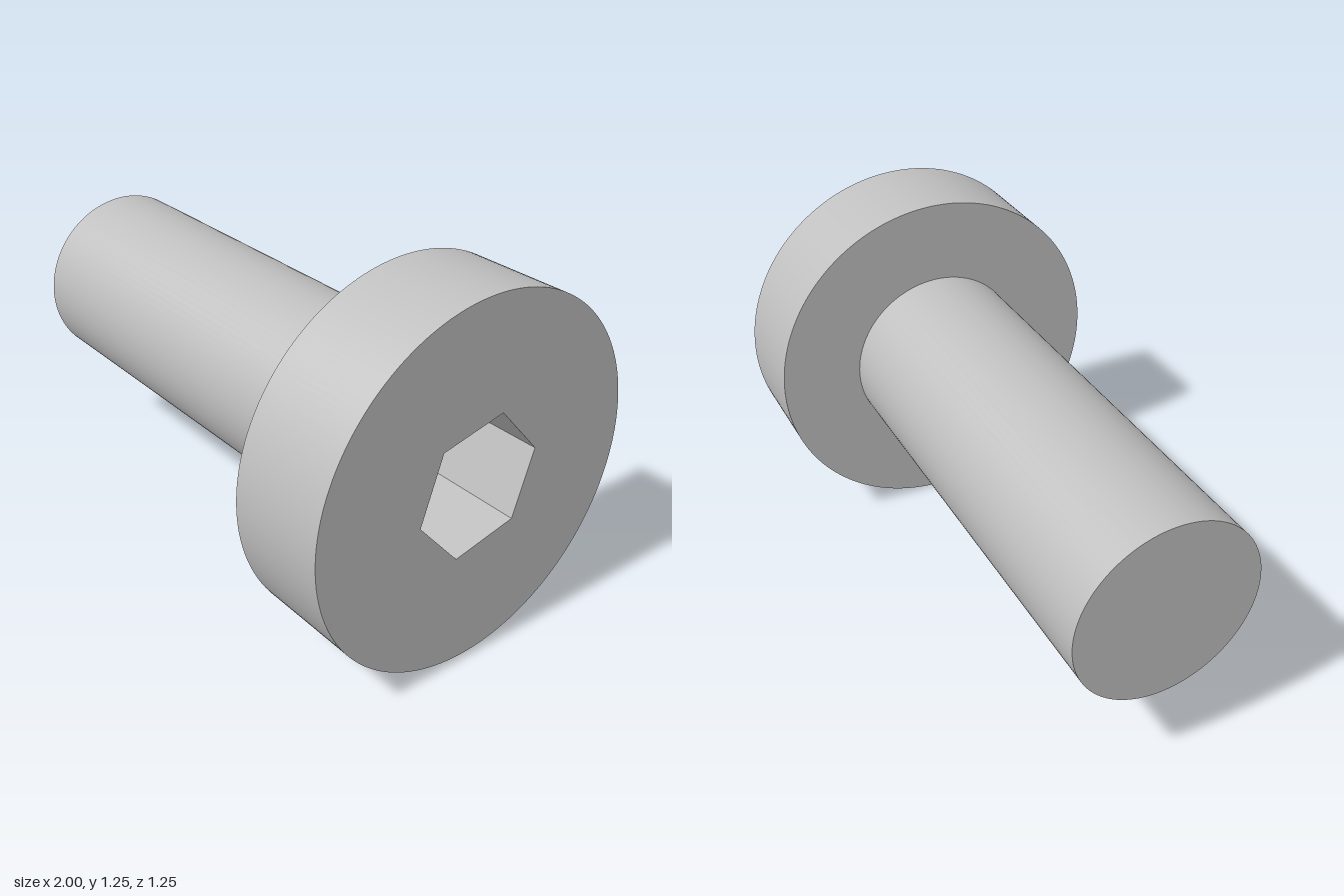
import * as THREE from 'three';
import { toCreasedNormals } from 'three/addons/utils/BufferGeometryUtils.js';

const HEAD_R = 0.623, HEAD_BACK = 0.64, HEAD_LENGTH = 0.36;
const SHANK_R = 0.327, SHANK_LENGTH = 1.64;
const SOCKET_R = 0.239, SOCKET_TURN = THREE.MathUtils.degToRad(12);

export function createModel() {
  const steel = new THREE.MeshStandardMaterial({ color: 0xbfbfbf });
  steel.name = 'steel grey';
  const group = new THREE.Group();
  group.name = 'socketHeadBolt';

  // Head: a disc with a turned hexagonal socket cut along its axis
  const outline = new THREE.Shape().absarc(0, 0, HEAD_R, 0, Math.PI * 2, false);
  const corners = Array.from({ length: 6 }, (_, i) => {
    const a = SOCKET_TURN - i * Math.PI / 3;
    return new THREE.Vector2(Math.cos(a) * SOCKET_R, Math.sin(a) * SOCKET_R);
  });
  outline.holes.push(new THREE.Path(corners).closePath());
  const headGeometry = toCreasedNormals(
    new THREE.ExtrudeGeometry(outline, { depth: HEAD_LENGTH, bevelEnabled: false, curveSegments: 96 }),
    0.5
  );
  headGeometry.rotateY(Math.PI / 2);
  const head = new THREE.Mesh(headGeometry, steel);
  head.name = 'head';
  head.position.set(HEAD_BACK, HEAD_R, 0);

  // Shank: a plain rod whose inner end forms the socket floor
  const shankGeometry = new THREE.CylinderGeometry(SHANK_R, SHANK_R, SHANK_LENGTH, 96);
  shankGeometry.rotateZ(-Math.PI / 2);
  const shank = new THREE.Mesh(shankGeometry, steel);
  shank.name = 'shank';
  shank.position.set(HEAD_BACK - SHANK_LENGTH / 2, HEAD_R, 0);

  group.add(head, shank);
  return group;
}
